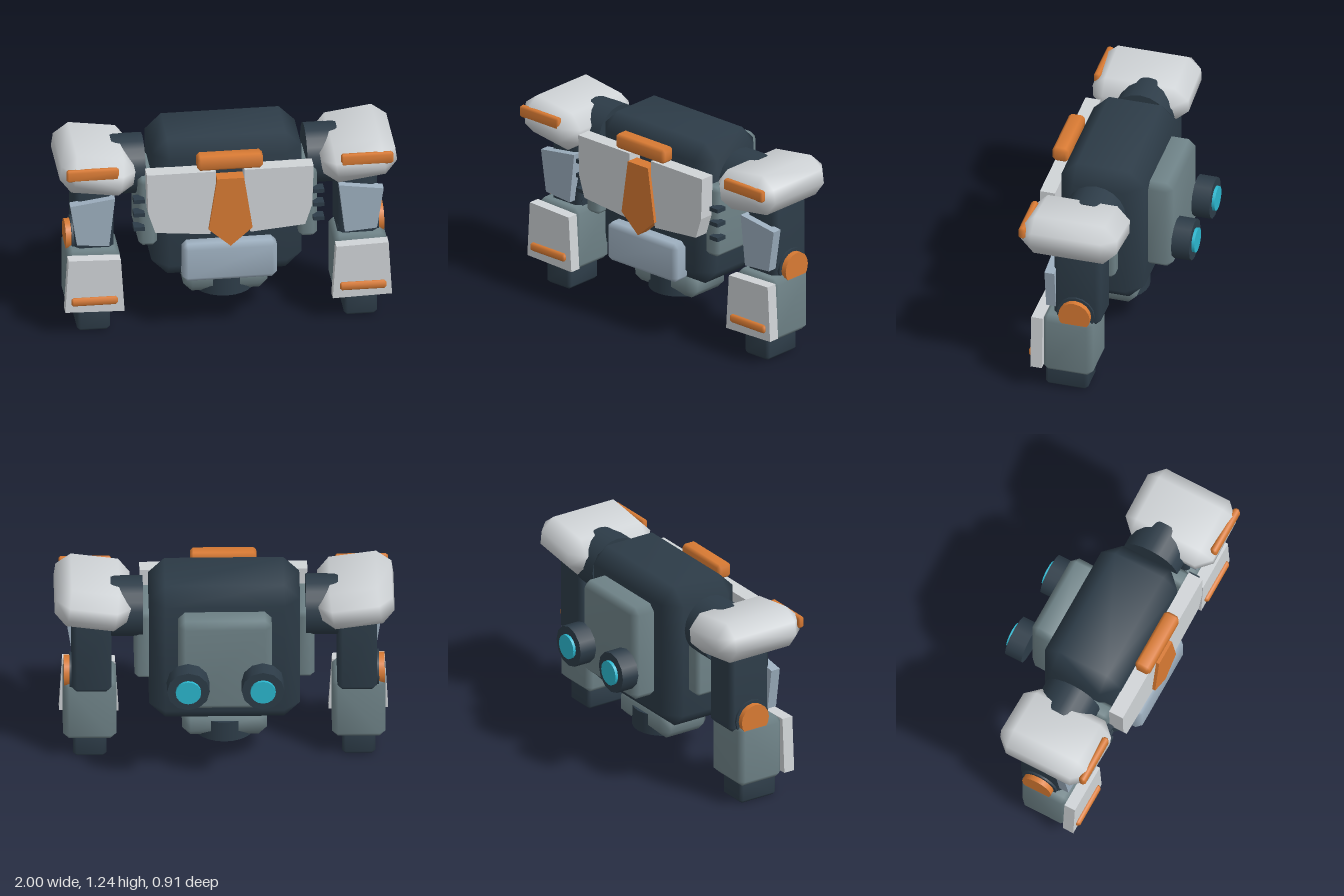
import * as THREE from 'three';
import { mergeVertices } from 'three/addons/utils/BufferGeometryUtils.js';
import { ConvexGeometry } from 'three/addons/geometries/ConvexGeometry.js';

function material(name, color) {
  const m = new THREE.MeshStandardMaterial({ color });
  m.name = name;
  return m;
}

export function createModel() {
  const model = new THREE.Group();
  model.name = 'robotBust';
  const dark = material('dark navy', 0x2d3c48);
  const steel = material('steel grey', 0x6f8388);
  const light = material('light grey', 0xd0d4d7);
  const blue = material('blue grey', 0x9dafbf);
  const orange = material('orange', 0xd87a33);
  const cyan = material('cyan glow', 0x2cb8d0);

  function add(name, geometry, mat, x = 0, y = 0, z = 0) {
    const mesh = new THREE.Mesh(geometry, mat);
    mesh.name = name;
    mesh.position.set(x, y, z);
    model.add(mesh);
    return mesh;
  }

  // Box with cut edges and softly blended normals
  function bevelBox(w, h, d, c) {
    const points = [];
    const half = [w / 2, h / 2, d / 2];
    for (const sx of [-1, 1]) for (const sy of [-1, 1]) for (const sz of [-1, 1]) {
      const s = [sx, sy, sz];
      for (let axis = 0; axis < 3; axis++) {
        points.push(new THREE.Vector3(...s.map((v, i) => v * (half[i] - (i === axis ? 0 : c)))));
      }
    }
    const hull = new ConvexGeometry(points);
    hull.deleteAttribute('normal');
    const g = mergeVertices(hull, 1e-5);
    g.computeVertexNormals();
    return g;
  }

  // Bevelled box given by its x, y and z ranges
  function block(name, mat, [x0, x1], [y0, y1], [z0, z1], c) {
    return add(name, bevelBox(Math.abs(x1 - x0), y1 - y0, z1 - z0, c), mat,
      (x0 + x1) / 2, (y0 + y1) / 2, (z0 + z1) / 2);
  }

  // Flat plate from a front outline
  function plate(name, mat, outline, z0, z1) {
    const shape = new THREE.Shape(outline.map(([x, y]) => new THREE.Vector2(x, y)));
    const g = new THREE.ExtrudeGeometry(shape, { depth: z1 - z0, bevelEnabled: false });
    return add(name, g, mat, 0, 0, z0);
  }

  // Cylinder lying along x between two x positions
  function axle(name, mat, r, x0, x1, y, z, sides) {
    const g = new THREE.CylinderGeometry(r, r, Math.abs(x1 - x0), sides).rotateZ(Math.PI / 2);
    return add(name, g, mat, (x0 + x1) / 2, y, z);
  }

  // Body
  block('torso', dark, [-0.445, 0.445], [0.335, 1.235], [-0.165, 0.345], 0.095);
  block('backpack', steel, [-0.275, 0.275], [0.515, 1.11], [-0.31, -0.1], 0.04);
  block('abdomenPlate', blue, [-0.28, 0.28], [0.36, 0.605], [0.3, 0.435], 0.03);
  block('collar', orange, [-0.195, 0.195], [1.105, 1.197], [0.35, 0.447], 0.018);
  block('pelvis', steel, [-0.25, 0.25], [0.185, 0.37], [-0.075, 0.255], 0.05);
  add('waistRing', new THREE.CylinderGeometry(0.185, 0.185, 0.13, 24), dark, 0, 0.24, 0.09);
  plate('chestStripe', orange,
    [[-0.08, 1.055], [-0.13, 0.72], [0, 0.605], [0.13, 0.72], [0.08, 1.055]], 0.375, 0.455);

  for (const s of [-1, 1]) {
    const mirror = (pts) => pts.map(([x, y]) => [s * x, y]);
    const span = (a, b) => [s * a, s * b];

    // Chest, flank and back
    plate('chestPlate', light, mirror([[0.085, 1.097], [0.495, 1.097], [0.487, 0.84],
      [0.445, 0.71], [0.12, 0.68], [0.085, 0.8]]), 0.343, 0.435);
    block('flankPanel', steel, span(0.42, 0.53), [0.57, 1.01], [-0.03, 0.34], 0.025);
    for (const y of [0.71, 0.803, 0.893]) {
      add('flankVent', new THREE.BoxGeometry(0.065, 0.025, 0.068), dark, s * 0.533, y, 0.343);
    }
    add('thruster', new THREE.CylinderGeometry(0.126, 0.126, 0.11, 12).rotateX(Math.PI / 2),
      dark, s * 0.22, 0.726, -0.38);
    add('thrusterGlow', new THREE.CylinderGeometry(0.075, 0.075, 0.03, 16).rotateX(Math.PI / 2),
      cyan, s * 0.22, 0.726, -0.438);

    // Shoulder
    axle('shoulderJoint', dark, 0.18, s * 0.48, s * 0.67, 1.005, 0.094, 20);
    const pad = add('shoulderPad', bevelBox(0.442, 0.245, 0.585, 0.08), light, s * 0.777, 1.07, 0.138);
    pad.rotation.z = s * 0.14;
    block('shoulderStripe', orange, span(0.66, 0.97), [1.077, 1.15], [0.393, 0.435], 0.012);

    // Upper arm and elbow
    block('upperArm', dark, span(0.665, 0.9), [0.48, 0.97], [-0.045, 0.24], 0.03);
    plate('upperArmPlate', blue,
      mirror([[0.93, 0.835], [0.665, 0.873], [0.7, 0.56], [0.89, 0.575]]), 0.225, 0.285);
    axle('elbowJoint', dark, 0.115, s * 0.665, s * 0.912, 0.555, 0.1, 16);
    axle('elbowCap', orange, 0.097, s * 0.88, s * 0.945, 0.555, 0.1, 16);

    // Forearm and fist
    block('forearm', steel, span(0.635, 0.95), [0.135, 0.53], [-0.01, 0.3], 0.035);
    plate('forearmPlate', light,
      mirror([[0.95, 0.513], [0.64, 0.503], [0.618, 0.16], [0.97, 0.17]]), 0.29, 0.36);
    block('forearmStripe', orange, span(0.66, 0.935), [0.215, 0.265], [0.345, 0.382], 0.012);
    block('fist', dark, span(0.695, 0.89), [0, 0.16], [0.033, 0.293], 0.02);
  }
  return model;
}
